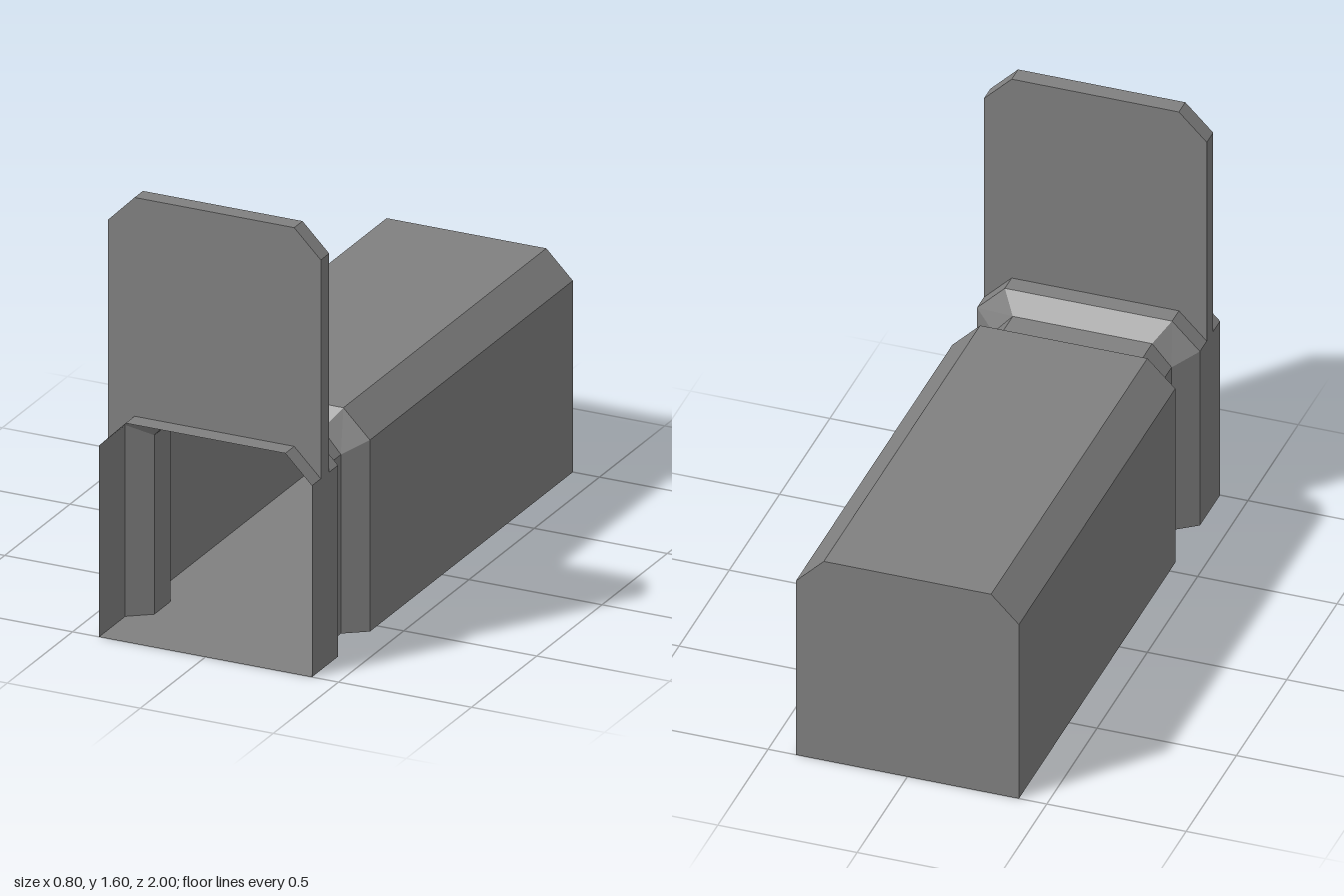
import * as THREE from 'three';

// Cross-section, counter-clockwise seen from the front: flat base, chamfered top corners
function section(halfWidth, height, topHalf, shoulder) {
  return [
    [-halfWidth, 0], [halfWidth, 0], [halfWidth, shoulder],
    [topHalf, height], [-topHalf, height], [-halfWidth, shoulder],
  ];
}

// Thin sleeve lofted through the stations, closed at the back and open at the front
function sleeveGeometry(stations) {
  const pos = [];
  const n = stations[0].ring.length;
  const point = (s, i) => [...s.ring[i % n], s.z];
  for (let k = 0; k < stations.length - 1; k++) {
    const f = stations[k], b = stations[k + 1];
    for (let i = 0; i < n; i++) {
      const a = point(f, i), c = point(b, i), d = point(b, i + 1), e = point(f, i + 1);
      pos.push(...a, ...c, ...d, ...a, ...d, ...e);
    }
  }
  const back = stations[stations.length - 1];
  for (let i = 1; i < n - 1; i++) {
    pos.push(...point(back, 0), ...point(back, i + 1), ...point(back, i));
  }
  const geometry = new THREE.BufferGeometry();
  geometry.setAttribute('position', new THREE.Float32BufferAttribute(pos, 3));
  geometry.computeVertexNormals();
  return geometry;
}

export function createModel() {
  const group = new THREE.Group();
  group.name = 'sleeveWithUprightPlate';

  const grey = new THREE.MeshStandardMaterial({ color: 0x808080, side: THREE.DoubleSide });
  grey.name = 'grey';

  // Hollow body with a narrow neck behind the mouth
  const full = section(0.4, 0.8, 0.3, 0.7);
  const neck = section(0.32, 0.735, 0.25, 0.655);
  const body = new THREE.Mesh(sleeveGeometry([
    { z: 1, ring: full }, { z: 0.8, ring: full },
    { z: 0.74, ring: neck }, { z: 0.615, ring: neck },
    { z: 0.555, ring: full }, { z: -1, ring: full },
  ]), grey);
  body.name = 'hollowBody';
  group.add(body);

  // Upright plate seated on the mouth, with a small notch in its lower edge
  const outline = [
    [-0.4, 0.7], [-0.32, 0.78], [-0.05, 0.78], [-0.03, 0.798],
    [0.03, 0.798], [0.05, 0.78], [0.32, 0.78], [0.4, 0.7],
    [0.4, 1.5], [0.3, 1.6], [-0.3, 1.6], [-0.4, 1.5],
  ];
  const shape = new THREE.Shape(outline.map(([x, y]) => new THREE.Vector2(x, y)));
  const plateGeometry = new THREE.ExtrudeGeometry(shape, { depth: 0.064, bevelEnabled: false });
  plateGeometry.translate(0, 0, 0.868);
  const plate = new THREE.Mesh(plateGeometry, grey);
  plate.name = 'uprightPlate';
  group.add(plate);

  return group;
}
